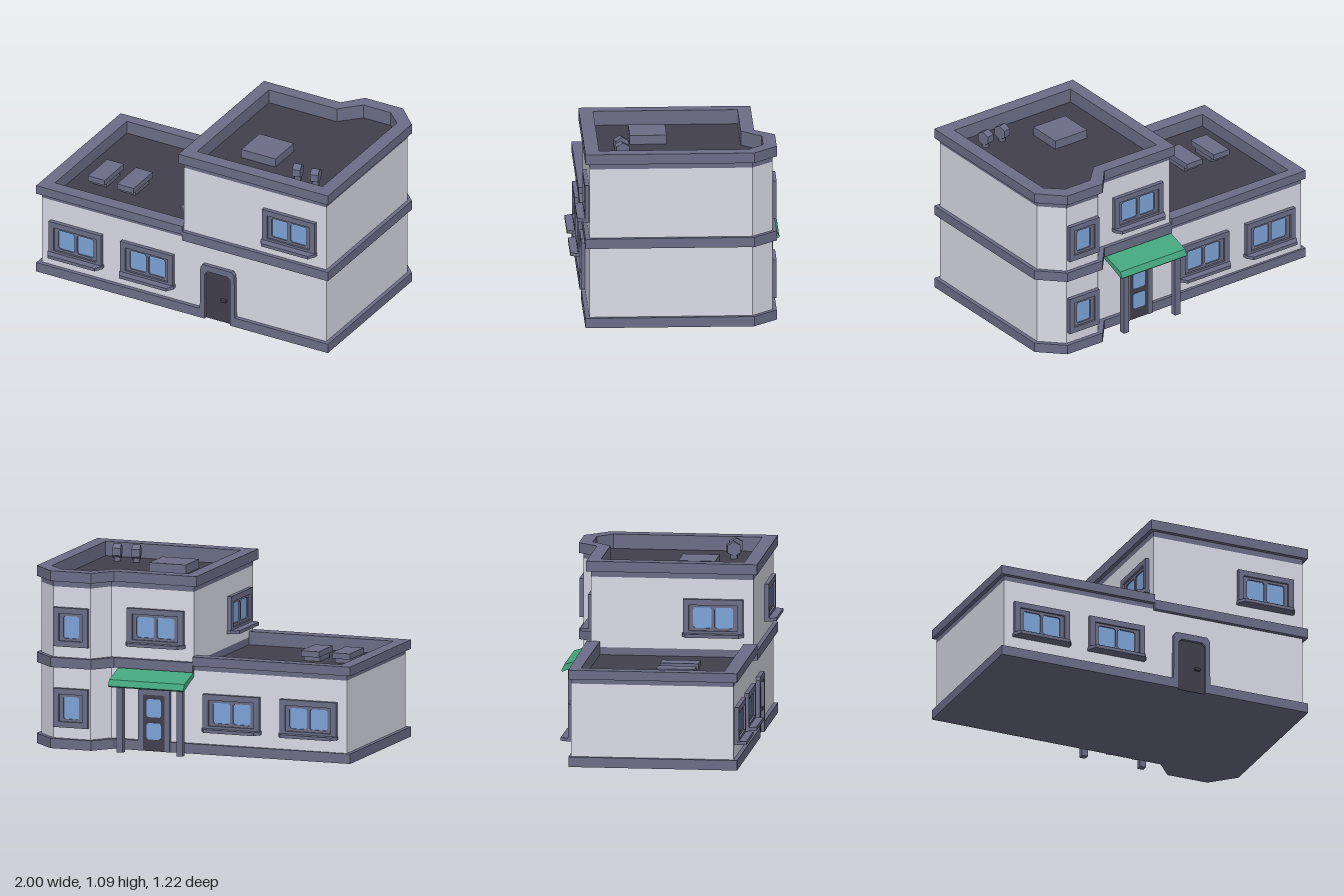
import * as THREE from 'three';

const material = (name, color) => Object.assign(new THREE.MeshStandardMaterial({ color }), { name });
const WALL = material('pale wall', 0xdbdbe7);
const TRIM = material('slate trim', 0x6c6e87);
const DARK = material('dark roof', 0x413f4c);
const GLASS = material('blue glass', 0x7da5d9);
const GREEN = material('green awning', 0x43a57d);

const toShape = (pts) => new THREE.Shape(pts.map(([x, y]) => new THREE.Vector2(x, y)));
const flip = (pts) => pts.map(([x, z]) => [x, -z]);

function add(parent, name, geometry, mat, x = 0, y = 0, z = 0) {
  const mesh = new THREE.Mesh(geometry, mat);
  mesh.name = name;
  mesh.position.set(x, y, z);
  parent.add(mesh);
  return mesh;
}

// Upright prism from a plan outline [x, z], with an optional hole
function prism(pts, y0, y1, hole) {
  const shape = toShape(flip(pts));
  if (hole) shape.holes.push(toShape(flip(hole)));
  const g = new THREE.ExtrudeGeometry(shape, { depth: y1 - y0, bevelEnabled: false });
  return g.rotateX(-Math.PI / 2).translate(0, y0, 0);
}

// Flat panel facing +z, with optional holes
function panel(pts, depth, holes = []) {
  const shape = toShape(pts);
  holes.forEach((h) => shape.holes.push(toShape(h)));
  return new THREE.ExtrudeGeometry(shape, { depth, bevelEnabled: false });
}

// Rectangle with clipped corners, centred on (cx, cy)
function rect(w, h, cx = 0, cy = 0, c = 0) {
  const a = w / 2, b = h / 2;
  const pts = c === 0 ? [[-a, -b], [a, -b], [a, b], [-a, b]]
    : [[-a + c, -b], [a - c, -b], [a, -b + c], [a, b - c], [a - c, b], [-a + c, b], [-a, b - c], [-a, -b + c]];
  return pts.map(([x, y]) => [x + cx, y + cy]);
}

// Window facing +z with its back on z = 0
function makeWindow(name, w, h, paneCount, sill) {
  const g = new THREE.Group();
  g.name = name;
  const iw = w - 0.07, ih = h - 0.07;
  add(g, 'outerFrame', panel(rect(w, h), 0.025, [rect(iw, ih)]), TRIM);
  const gap = 0.019;
  const pw = (iw - 0.05 - gap * (paneCount - 1)) / paneCount, ph = ih - 0.03;
  const panes = [];
  for (let i = 0; i < paneCount; i++) {
    panes.push(rect(pw, ph, (i - (paneCount - 1) / 2) * (pw + gap), 0, 0.01));
  }
  add(g, 'innerFrame', panel(rect(iw, ih), 0.013, panes), TRIM);
  panes.forEach((p) => add(g, 'pane', panel(p, 0.005), GLASS));
  if (sill) {
    const a = w / 2 + 0.005;
    add(g, 'sill', prism([[-a, 0], [a, 0], [a, 0.03], [a - 0.025, 0.07], [-a + 0.025, 0.07], [-a, 0.03]], 0, 0.02), TRIM, 0, -h / 2);
  }
  return g;
}

export function createModel() {
  const house = new THREE.Group();
  house.name = 'house';

  // Plan outlines: walls, projecting trim and roof openings
  const bayWall = [[0.975, -0.43], [0.85, -0.555], [0.615, -0.555], [0.525, -0.435]];
  const bayTrim = [[1, -0.44], [0.86, -0.58], [0.6, -0.58], [0.5, -0.46]];
  const towerWall = [[0, 0.54], [0.975, 0.54], ...bayWall, [0, -0.435]];
  const towerTrim = [[-0.025, 0.565], [1, 0.565], ...bayTrim, [-0.025, -0.46]];
  const towerBelt = [[0, 0.565], [1, 0.565], ...bayTrim, [0, -0.46]];
  const towerHole = [[0.055, 0.48], [0.915, 0.48], [0.915, -0.41], [0.82, -0.5], [0.635, -0.5], [0.52, -0.38], [0.055, -0.38]];
  const wingWall = [[-0.975, 0.54], [0, 0.54], [0, -0.435], [-0.975, -0.435]];
  const uShape = (x, zf, zb, zc) => [[0, zf], [x, zf], [x, zc], [0, zb], [0, -0.38], [-0.92, -0.38], [-0.92, 0.48], [0, 0.48]];
  const footprint = [[-1, 0.565], [0.155, 0.565], [0.155, 0.541], [0.33, 0.541], [0.33, 0.565], [1, 0.565], ...bayTrim, [-1, -0.447]];

  // Ground floor
  add(house, 'plinth', prism(footprint, 0, 0.06), TRIM);
  add(house, 'wingWalls', prism(wingWall, 0.01, 0.5), WALL);
  add(house, 'towerLowerWalls', prism(towerWall, 0.01, 0.49), WALL);
  add(house, 'wingRoof', prism(rect(0.93, 0.88, -0.46, 0.05), 0.5, 0.505), DARK);
  add(house, 'wingFrieze', prism(uShape(-0.975, 0.54, -0.435, -0.435), 0.5, 0.53), TRIM);
  add(house, 'wingParapet', prism(uShape(-1, 0.565, -0.46, -0.447), 0.53, 0.585), TRIM);

  // Upper floor
  add(house, 'towerBelt', prism(towerBelt, 0.49, 0.55), TRIM);
  add(house, 'towerUpperWalls', prism(towerWall, 0.55, 0.975), WALL);
  add(house, 'towerRoof', prism(towerHole, 0.975, 0.985), DARK);
  add(house, 'towerFrieze', prism(towerWall, 0.975, 1.01, towerHole), TRIM);
  add(house, 'towerParapet', prism(towerTrim, 1.01, 1.072, towerHole), TRIM);

  // Windows: [name, width, height, panes, sill, x, y, z, turn]
  const low = 0.2525, high = 0.7425;
  [
    ['frontWindowOuter', 0.36, 0.225, 2, true, -0.735, low, 0.54, 0],
    ['frontWindowInner', 0.36, 0.225, 2, true, -0.245, low, 0.54, 0],
    ['frontWindowUpper', 0.36, 0.225, 2, true, 0.727, high, 0.54, 0],
    ['sideWindowUpper', 0.36, 0.225, 2, true, 0, high, 0.3, -Math.PI / 2],
    ['backWindowOuter', 0.36, 0.225, 2, true, -0.735, low, -0.435, Math.PI],
    ['backWindowInner', 0.36, 0.225, 2, true, -0.245, low, -0.435, Math.PI],
    ['backWindowUpper', 0.36, 0.225, 2, true, 0.24, high, -0.435, Math.PI],
    ['bayWindowLower', 0.22, 0.235, 1, false, 0.732, 0.247, -0.555, Math.PI],
    ['bayWindowUpper', 0.22, 0.235, 1, false, 0.732, 0.735, -0.555, Math.PI],
  ].forEach(([name, w, h, n, sill, x, y, z, turn]) => {
    const win = makeWindow(name, w, h, n, sill);
    win.position.set(x, y, z);
    win.rotation.y = turn;
    house.add(win);
  });

  // Front door in a clipped surround
  const opening = [[0.33, 0], [0.33, 0.305], [0.31, 0.325], [0.175, 0.325], [0.155, 0.305], [0.155, 0]];
  const surround = [[0.12, 0], [0.125, 0.345], [0.14, 0.365], [0.34, 0.365], [0.357, 0.345], [0.362, 0]];
  add(house, 'frontDoorSurround', panel([...surround, ...opening], 0.025), TRIM, 0, 0, 0.54);
  add(house, 'frontDoor', panel(opening, 0.006), DARK, 0, 0, 0.54);
  add(house, 'frontDoorHandle', new THREE.BoxGeometry(0.035, 0.016, 0.02), DARK, 0.28, 0.15, 0.555);

  // Glazed back door
  const back = new THREE.Group();
  back.name = 'backDoor';
  back.position.set(0.245, 0, -0.435);
  back.rotation.y = Math.PI;
  house.add(back);
  add(back, 'backDoorFrame', panel([[-0.1, 0], [-0.1, 0.37], [0.1, 0.37], [0.1, 0], [0.07, 0], [0.07, 0.34], [-0.07, 0.34], [-0.07, 0]], 0.03), TRIM);
  add(back, 'backDoorLeaf', new THREE.BoxGeometry(0.14, 0.34, 0.026), DARK, 0, 0.17, 0.013);
  [[0.12, 0.1], [0.26, 0.11]].forEach(([y, h]) => add(back, 'backDoorPane', panel(rect(0.09, h, 0, y, 0.01), 0.004), GLASS, 0, 0, 0.025));

  // Awning on two posts
  const awning = panel([[0.435, 0.462], [0.605, 0.397], [0.612, 0.405], [0.594, 0.441], [0.435, 0.49]], 0.48);
  add(house, 'awning', awning.rotateY(Math.PI / 2), GREEN);
  [0.04, 0.42].forEach((x) => add(house, 'awningPost', new THREE.BoxGeometry(0.038, 0.425, 0.038), TRIM, x, 0.2125, -0.555));

  // Roof boxes: slabs on narrow feet over the wing, a solid box on the tower
  [-0.748, -0.55].forEach((x) => {
    add(house, 'roofBoxBase', new THREE.BoxGeometry(0.1, 0.03, 0.16), TRIM, x, 0.52, 0.17);
    add(house, 'roofBoxCap', new THREE.BoxGeometry(0.115, 0.035, 0.23), TRIM, x, 0.5525, 0.17);
  });
  add(house, 'towerRoofBox', new THREE.BoxGeometry(0.235, 0.055, 0.22), TRIM, 0.36, 1.0125, 0.17);

  // Roof vents with hexagonal hoods
  [0.665, 0.787].forEach((x) => {
    add(house, 'ventPipe', new THREE.CylinderGeometry(0.022, 0.022, 0.07, 8), TRIM, x, 1.015, 0.34);
    const hood = new THREE.CylinderGeometry(0.045, 0.045, 0.05, 6).rotateX(Math.PI / 2).rotateY(Math.PI / 2);
    const hex = hood.toNonIndexed();
    hex.computeVertexNormals();
    add(house, 'ventHood', hex, TRIM, x, 1.045, 0.34).rotation.y = 0.25;
  });

  return house;
}
